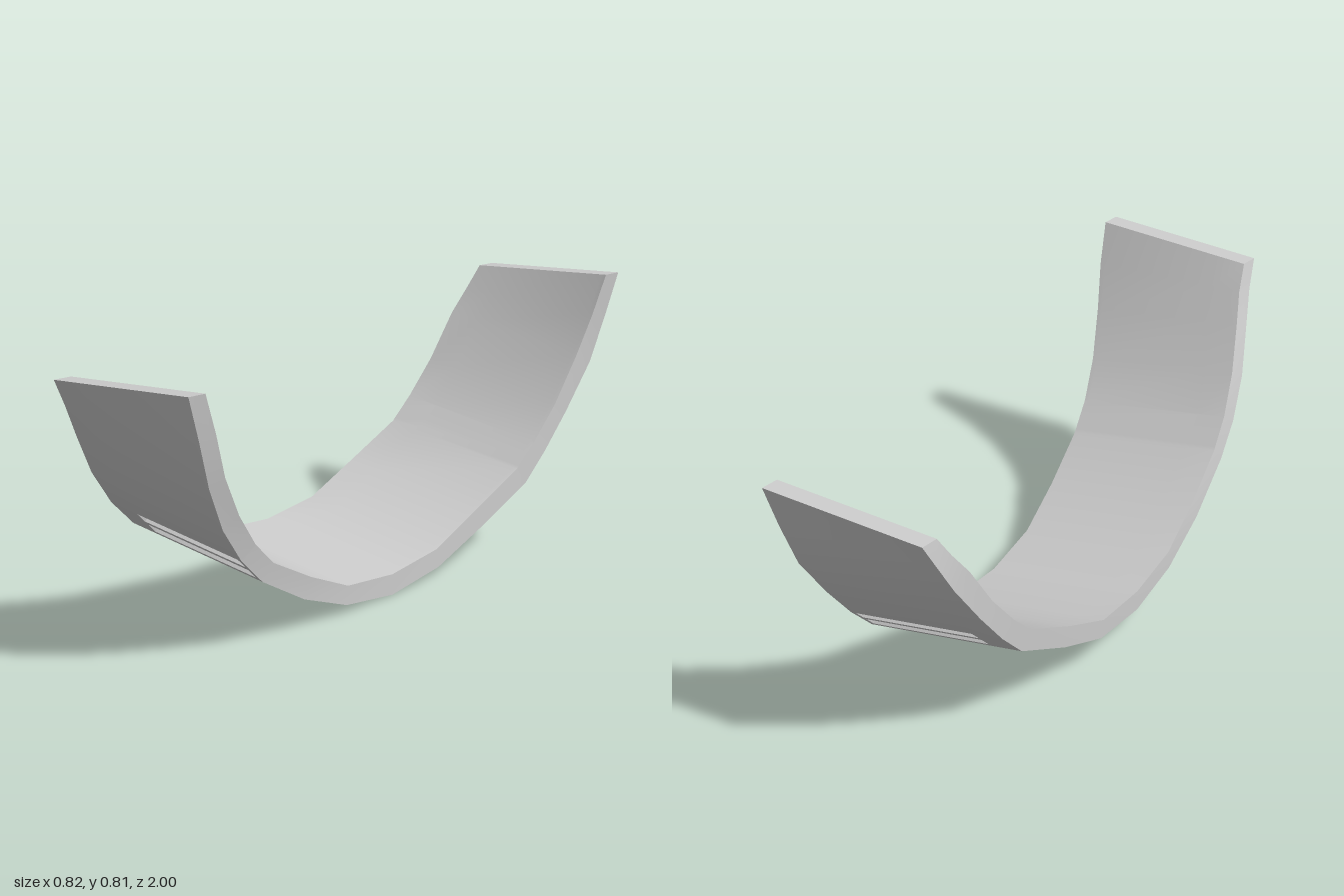
import * as THREE from 'three';
import { toCreasedNormals } from 'three/addons/utils/BufferGeometryUtils.js';

// Stations along the band, front end to back end, on its +x edge:
// x, outer y, outer z, inner y, inner z, rise of the opposite edge
const STATIONS = [
  [0.408, 0.81, 0.92, 0.81, 0.866, -0.033],
  [0.39, 0.68, 0.875, 0.69, 0.82, 0.015],
  [0.36, 0.54, 0.823, 0.56, 0.77, 0.06],
  [0.315, 0.40, 0.745, 0.43, 0.69, 0.07],
  [0.283, 0.29, 0.66, 0.325, 0.61, 0.07],
  [0.26, 0.205, 0.57, 0.25, 0.53, 0.07],
  [0.215, 0.10, 0.385, 0.16, 0.36, 0.07],
  [0.175, 0.028, 0.195, 0.085, 0.19, 0.07],
  [0.135, 0.0, -0.015, 0.063, -0.015, 0.072],
  [0.10, 0.028, -0.23, 0.085, -0.22, 0.07],
  [0.08, 0.105, -0.42, 0.165, -0.40, 0.07],
  [0.067, 0.205, -0.625, 0.255, -0.585, 0.07],
  [0.063, 0.29, -0.71, 0.325, -0.66, 0.07],
  [0.062, 0.40, -0.80, 0.43, -0.75, 0.07],
  [0.062, 0.54, -0.90, 0.57, -0.84, 0.065],
  [0.068, 0.68, -0.957, 0.69, -0.90, 0.02],
  [0.078, 0.81, -1.0, 0.81, -0.945, -0.033],
];

// Grooves in the outer face: start and end station (fractional)
const GROOVES = [[4.03, 4.38], [4.52, 4.88], [11.12, 11.48], [11.62, 11.97]];
const GROOVE_DEPTH = 0.4;
const COLUMNS = [0, 0.2, 0.97, 1];

// Point at station s, across the width u (0 to 1), through the thickness d (0 outer, 1 inner)
function point(s, u, d) {
  const i = Math.min(Math.floor(s), STATIONS.length - 2);
  const [x, yo, zo, yi, zi, rise] = STATIONS[i].map((v, k) => THREE.MathUtils.lerp(v, STATIONS[i + 1][k], s - i));
  const w = 1 - u;
  return [
    x - 0.475 * w,
    THREE.MathUtils.lerp(yo, yi, d) + rise * w,
    THREE.MathUtils.lerp(zo, zi, d) + 0.08 * w,
  ];
}

function bandGeometry() {
  const positions = [];
  const quad = (a, b, c, d, flip) => {
    const corners = flip ? [a, d, c, a, c, b] : [a, b, c, a, c, d];
    corners.forEach((p) => positions.push(...p));
  };
  // Face along the band at one depth; flip for the outer side
  const sheet = (s0, s1, u0, u1, d, flip) =>
    quad(point(s0, u0, d), point(s0, u1, d), point(s1, u1, d), point(s1, u0, d), flip);
  // Wall through the thickness along the band, facing +x unless flipped
  const side = (s0, s1, u, d0, d1, flip) =>
    quad(point(s0, u, d0), point(s1, u, d0), point(s1, u, d1), point(s0, u, d1), flip);
  // Wall across the band, facing the front end unless flipped
  const cap = (s, u0, u1, d0, d1, flip) =>
    quad(point(s, u0, d0), point(s, u1, d0), point(s, u1, d1), point(s, u0, d1), flip);

  const last = STATIONS.length - 1;
  const rows = [...STATIONS.keys(), ...GROOVES.flat()].sort((a, b) => a - b);
  for (let r = 0; r < rows.length - 1; r++) {
    const s0 = rows[r], s1 = rows[r + 1];
    const grooved = GROOVES.some((g) => g[0] === s0);
    for (let c = 0; c < COLUMNS.length - 1; c++) {
      const u0 = COLUMNS[c], u1 = COLUMNS[c + 1];
      const depth = grooved && c === 1 ? GROOVE_DEPTH : 0;
      sheet(s0, s1, u0, u1, 1, false);
      sheet(s0, s1, u0, u1, depth, true);
      // Groove walls
      if (depth) {
        side(s0, s1, u0, 0, depth, false);
        side(s0, s1, u1, 0, depth, true);
        cap(s0, u0, u1, 0, depth, true);
        cap(s1, u0, u1, 0, depth, false);
      }
    }
    // Long edges
    side(s0, s1, 1, 0, 1, false);
    side(s0, s1, 0, 0, 1, true);
  }
  // End faces
  cap(0, 0, 1, 0, 1, false);
  cap(last, 0, 1, 0, 1, true);

  const geometry = new THREE.BufferGeometry();
  geometry.setAttribute('position', new THREE.Float32BufferAttribute(positions, 3));
  return toCreasedNormals(geometry, 0.6);
}

export function createModel() {
  const group = new THREE.Group();
  group.name = 'curvedBandModel';
  const band = new THREE.Mesh(bandGeometry(), new THREE.MeshStandardMaterial({ color: 0xcccccc }));
  band.name = 'groovedBand';
  group.add(band);
  return group;
}
